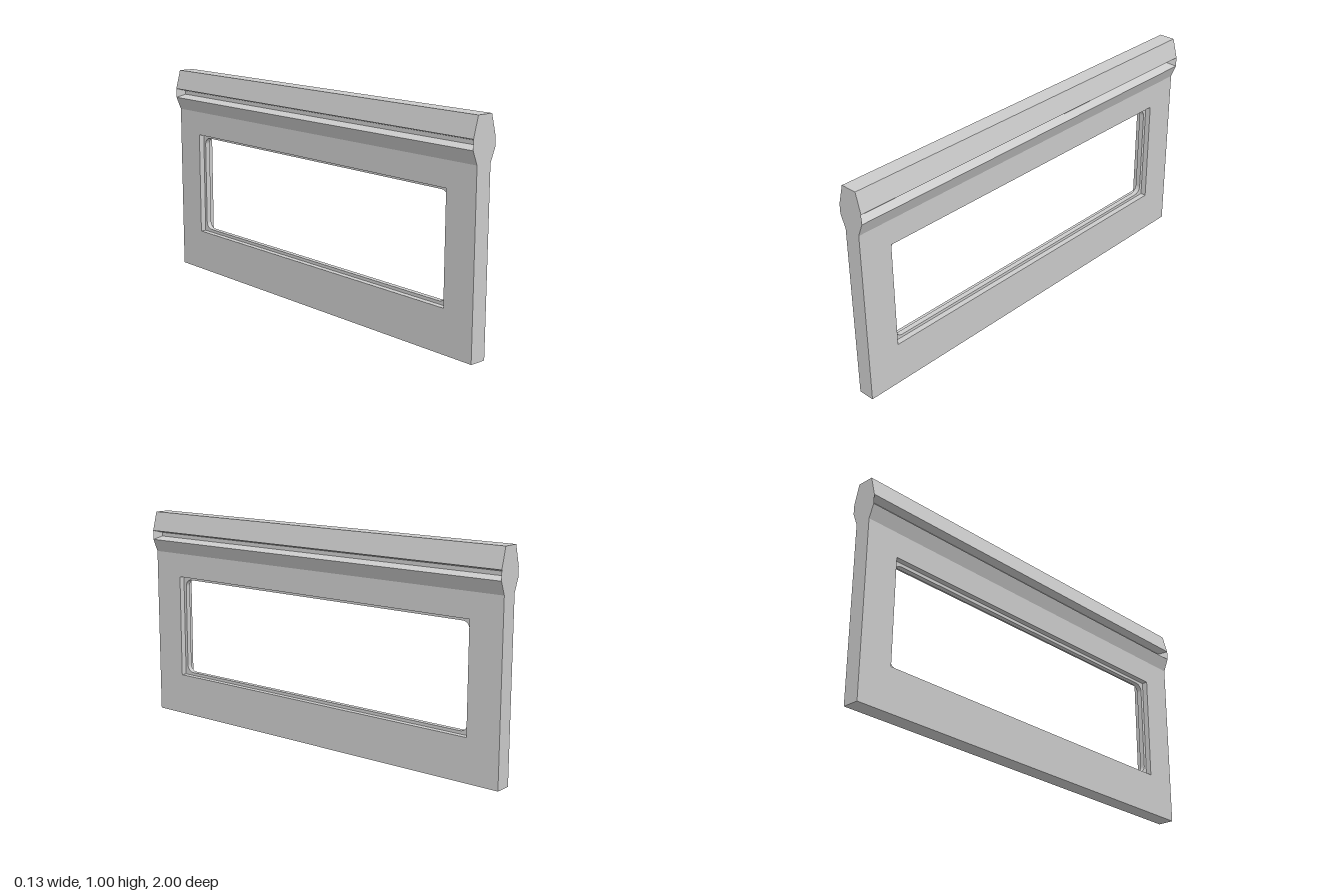
import * as THREE from 'three';

const T = 0.0385;                 // half thickness of the panel
const material = new THREE.MeshStandardMaterial({ color: 0xcccccc, flatShading: true });

// Trace a rectangle, optionally with rounded corners
function rect(path, w, y0, y1, r = 0) {
  if (!r) {
    path.moveTo(-w, y0).lineTo(w, y0).lineTo(w, y1).lineTo(-w, y1).lineTo(-w, y0);
    return path;
  }
  path.moveTo(-w + r, y0);
  path.absarc(w - r, y0 + r, r, -Math.PI / 2, 0);
  path.absarc(w - r, y1 - r, r, 0, Math.PI / 2);
  path.absarc(-w + r, y1 - r, r, Math.PI / 2, Math.PI);
  path.absarc(-w + r, y0 + r, r, Math.PI, Math.PI * 1.5);
  return path;
}

// Upright plate with an opening, centred on x = 0
function plate(name, outer, hole, half) {
  const shape = rect(new THREE.Shape(), ...outer);
  shape.holes.push(rect(new THREE.Path(), ...hole));
  const geo = new THREE.ExtrudeGeometry(shape, { depth: half * 2, bevelEnabled: false, curveSegments: 6 });
  geo.translate(0, 0, -half).rotateY(Math.PI / 2);
  const mesh = new THREE.Mesh(geo, material);
  mesh.name = name;
  return mesh;
}

// Top rail: faceted section with a tapered pocket groove along each side
function topRail() {
  const Z = 1, ZF = 0.975;        // rail end, groove floor end
  const side = [
    [T, 0.805, Z], [0.063, 0.865, Z],
    [0.025, 0.88, ZF], [0.025, 0.898, ZF],
    [0.063, 0.909, Z], [T, 1, Z],
  ];
  const loop = [...side, ...side.map(([x, y, z]) => [-x, y, z]).reverse()];
  const pos = [];
  const at = ([x, y, z], s) => [x, y, z * s];
  const quad = (a, b, c, d) => pos.push(...a, ...b, ...c, ...a, ...c, ...d);

  // Long faces, including groove walls and floors
  for (let i = 0; i < loop.length - 1; i++) {
    const p = loop[i], q = loop[i + 1];
    quad(at(p, 1), at(p, -1), at(q, -1), at(q, 1));
  }
  // End caps
  const cap = loop.filter((p) => p[2] === Z);
  for (let i = 1; i < cap.length - 1; i++) {
    pos.push(...at(cap[0], 1), ...at(cap[i], 1), ...at(cap[i + 1], 1));
    pos.push(...at(cap[0], -1), ...at(cap[i + 1], -1), ...at(cap[i], -1));
  }
  // Sloped groove ends
  for (const start of [1, 7]) {
    const [a, b, c, d] = loop.slice(start, start + 4);
    quad(at(a, 1), at(b, 1), at(c, 1), at(d, 1));
    quad(at(d, -1), at(c, -1), at(b, -1), at(a, -1));
  }
  const geo = new THREE.BufferGeometry();
  geo.setAttribute('position', new THREE.Float32BufferAttribute(pos, 3));
  geo.computeVertexNormals();
  const mesh = new THREE.Mesh(geo, material);
  mesh.name = 'topRail';
  return mesh;
}

export function createModel() {
  const group = new THREE.Group();
  group.name = 'windowPanel';
  group.add(
    plate('panel', [1, 0, 0.805], [0.842, 0.197, 0.691], T),
    // Thin rounded lip in the middle of the opening
    plate('windowLip', [0.85, 0.19, 0.7], [0.827, 0.211, 0.676, 0.035], 0.012),
    topRail(),
  );
  return group;
}
